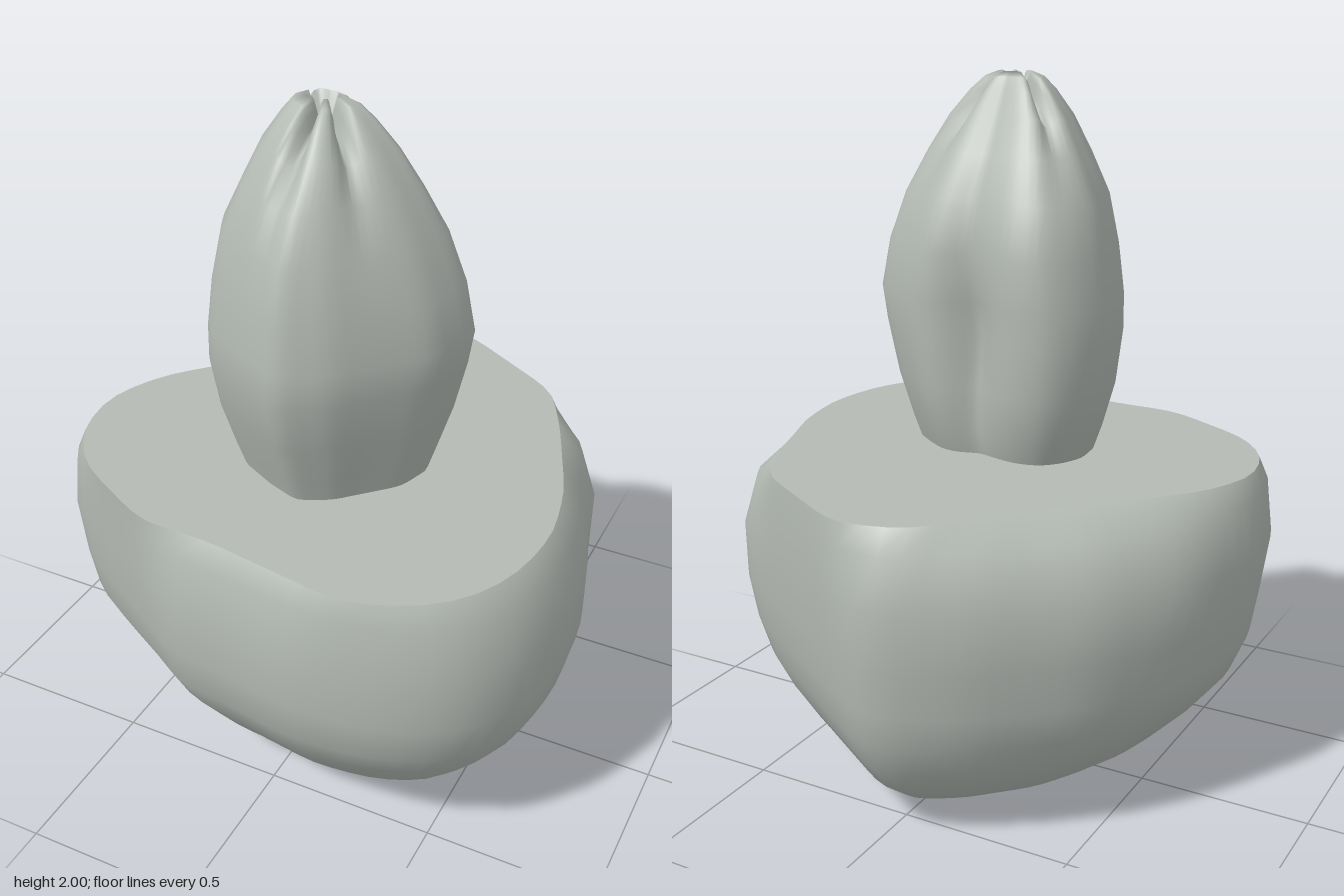
import * as THREE from 'three';

const N = 72;

// Radius of a plan outline (x, z pairs) at each of N angles about a centre
function radii(points, cx, cz) {
  const out = [];
  for (let i = 0; i < N; i++) {
    const a = (i / N) * Math.PI * 2, dx = Math.cos(a), dz = Math.sin(a);
    let best = 0;
    points.forEach(([px, pz], k) => {
      const [qx, qz] = points[(k + 1) % points.length];
      const ex = qx - px, ez = qz - pz, det = ex * dz - ez * dx;
      if (Math.abs(det) < 1e-9) return;
      const wx = px - cx, wz = pz - cz;
      const t = (ex * wz - ez * wx) / det;
      const u = (dx * wz - dz * wx) / det;
      if (t > 0 && u >= -1e-6 && u <= 1 + 1e-6) best = Math.max(best, t);
    });
    out.push(best);
  }
  // Light smoothing softens the corners
  return out.map((r, i) => (out[(i + N - 1) % N] + 2 * r + out[(i + 1) % N]) / 4);
}

// Skin over rings of N points, bottom to top, with optional end points
function skin(rings, bottom, top) {
  const pos = rings.flat(2), idx = [];
  const id = (r, i) => r * N + (i % N);
  for (let r = 0; r < rings.length - 1; r++) {
    for (let i = 0; i < N; i++) {
      idx.push(id(r, i), id(r + 1, i), id(r, i + 1));
      idx.push(id(r + 1, i), id(r + 1, i + 1), id(r, i + 1));
    }
  }
  const last = rings.length - 1;
  if (bottom) {
    const c = pos.length / 3;
    pos.push(...bottom);
    for (let i = 0; i < N; i++) idx.push(c, id(0, i), id(0, i + 1));
  }
  if (top) {
    const c = pos.length / 3;
    pos.push(...top);
    for (let i = 0; i < N; i++) idx.push(id(last, i), c, id(last, i + 1));
  }
  const geo = new THREE.BufferGeometry();
  geo.setAttribute('position', new THREE.Float32BufferAttribute(pos, 3));
  geo.setIndex(idx);
  geo.computeVertexNormals();
  return geo;
}

// Ring at height y whose outline is stretched to the given x and z limits
function ring(rad, cx, cz, [y, x0, x1, z0, z1]) {
  const p = rad.map((r, i) => {
    const a = (i / N) * Math.PI * 2;
    return [r * Math.cos(a), r * Math.sin(a)];
  });
  const xs = p.map(q => q[0]), zs = p.map(q => q[1]);
  const lx = Math.min(...xs), hx = Math.max(...xs), lz = Math.min(...zs), hz = Math.max(...zs);
  return p.map(([x, z]) => [
    cx + x * (x < 0 ? (x0 - cx) / lx : (x1 - cx) / hx), y,
    cz + z * (z < 0 ? (z0 - cz) / lz : (z1 - cz) / hz)]);
}

// Smooth bump around angle c (degrees) for ring index i
function bump(i, c, width) {
  let d = (i / N) * 360 - c;
  d -= 360 * Math.round(d / 360);
  return Math.exp(-((d / width) ** 2));
}

export function createModel() {
  const group = new THREE.Group();
  const stone = new THREE.MeshStandardMaterial({ color: 0xb4bab4 });
  stone.name = 'grey stone';
  const add = (name, geo) => {
    const mesh = new THREE.Mesh(geo, stone);
    mesh.name = name;
    group.add(mesh);
  };

  // Boulder base: widest outline and the cut top outline
  const belly = radii([
    [0.62, -0.38], [0.67, -0.31], [0.69, -0.15], [0.75, 0], [0.775, 0.13], [0.775, 0.28],
    [0.75, 0.44], [0.68, 0.56], [0.6, 0.65], [0.42, 0.72], [0.2, 0.745], [-0.08, 0.7],
    [-0.21, 0.695], [-0.31, 0.63], [-0.6, 0.47], [-0.72, 0.4], [-0.77, 0.25], [-0.78, 0.13],
    [-0.76, 0], [-0.7, -0.2], [-0.55, -0.42], [-0.28, -0.64], [-0.1, -0.73], [-0.02, -0.75],
    [0.08, -0.7], [0.45, -0.48]], 0, 0);
  const rim = radii([
    [0.45, -0.48], [0.54, -0.3], [0.6, -0.15], [0.66, 0], [0.7, 0.2], [0.68, 0.38], [0.62, 0.52],
    [0.52, 0.62], [0.33, 0.7], [-0.1, 0.63], [-0.31, 0.63], [-0.6, 0.47], [-0.7, 0.33],
    [-0.735, 0.15], [-0.66, -0.03], [-0.38, -0.33], [-0.11, -0.65], [0.08, -0.7]], 0, 0);
  const rows = [
    [0.03, -0.37, 0.43, -0.43, 0.37], [0.07, -0.43, 0.49, -0.51, 0.45],
    [0.14, -0.53, 0.58, -0.6, 0.52], [0.22, -0.61, 0.64, -0.655, 0.58],
    [0.32, -0.69, 0.7, -0.705, 0.655], [0.42, -0.73, 0.745, -0.72, 0.71],
    [0.55, -0.75, 0.775, -0.735, 0.735], [0.72, -0.775, 0.775, -0.745, 0.735],
  ].map(row => ring(belly, 0, 0, row));
  const rimRing = rim.map((r, i) => {
    const a = (i / N) * Math.PI * 2;
    return [r * Math.cos(a), 0.93, r * Math.sin(a)];
  });
  // Shoulder between belly and cut top
  const shoulder = rimRing.map(([x, , z], i) => {
    const b = rows[rows.length - 1][i];
    return [x * 0.4 + b[0] * 0.6, 0.87, z * 0.4 + b[2] * 0.6];
  });
  add('boulderBase', skin([...rows, shoulder, rimRing], [0, 0, 0]));
  add('boulderTop', skin([rimRing], null, [0, 0.93, 0]));

  // Bud: a heart-shaped plan tapering to a puckered tip
  const cz = 0.13;
  const budPlan = radii([
    [0.39, 0.03], [0.375, 0.08], [0.34, 0.2], [0.15, 0.41], [0.03, 0.475], [-0.1, 0.42],
    [-0.25, 0.33], [-0.31, 0.2], [-0.325, 0.05], [-0.29, -0.05], [-0.23, -0.12],
    [-0.14, -0.14], [-0.04, -0.12], [0.03, -0.1], [0.13, -0.125], [0.2, -0.11],
    [0.29, -0.05]], 0, cz);
  const creases = [-149, -34, 35, 90];
  const bud = [
    [0.9, -0.24, 0.27, -0.05, 0.35], [1, -0.275, 0.3, -0.095, 0.385],
    [1.13, -0.31, 0.34, -0.125, 0.435], [1.28, -0.325, 0.375, -0.13, 0.48],
    [1.38, -0.325, 0.39, -0.135, 0.475], [1.52, -0.305, 0.36, -0.135, 0.463],
    [1.66, -0.275, 0.31, -0.1, 0.43], [1.78, -0.215, 0.25, -0.03, 0.385],
    [1.88, -0.165, 0.19, 0.025, 0.32], [1.95, -0.115, 0.13, 0.06, 0.26],
    [1.985, -0.085, 0.09, 0.08, 0.21], [2, -0.05, 0.05, 0.1, 0.17],
  ].map(row => ring(budPlan, 0, cz, row).map(([x, y, z], i) => {
    // Dent in the back, and creases running into the tip
    const dent = 0.25 * bump(i, -86, 17) * Math.exp(-(((y - 1.25) / 0.2) ** 2));
    const fold = creases.reduce((s, c) => s + bump(i, c, 10), 0);
    const tip = Math.max(0, (y - 1.72) / 0.28);
    const k = 1 - dent - 0.28 * fold * tip;
    return [x * k, y - 0.08 * fold * tip * tip, cz + (z - cz) * k];
  }));
  add('bud', skin(bud, null, [0, 1.88, cz]));

  return group;
}
